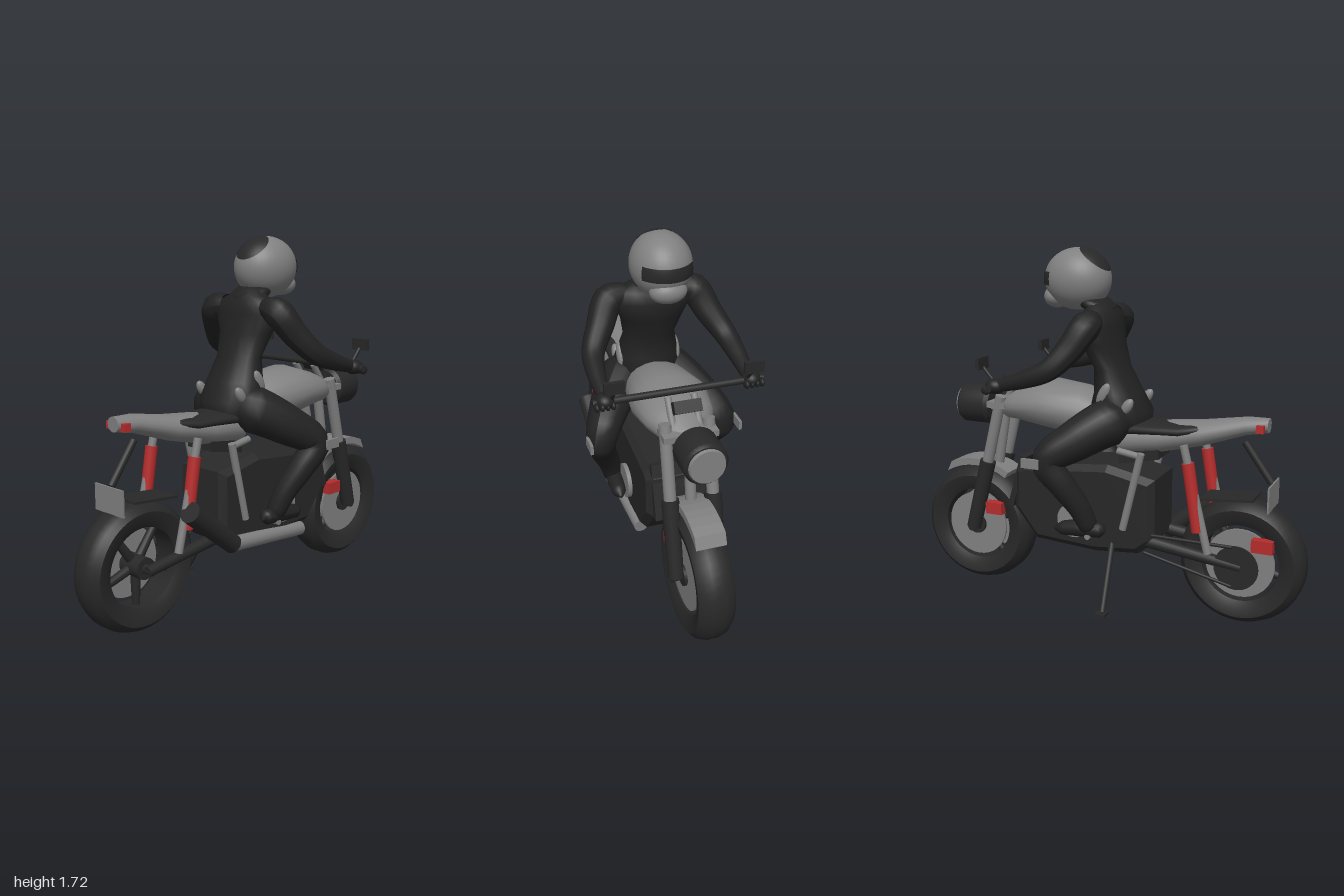
import * as THREE from 'three';
import { toCreasedNormals } from 'three/addons/utils/BufferGeometryUtils.js';

const V = (x, y, z) => new THREE.Vector3(x, y, z);

export function createModel() {
  const root = new THREE.Group();
  root.name = 'motorcycleWithRider';
  const material = (name, color) => {
    const m = new THREE.MeshStandardMaterial({ color, side: THREE.DoubleSide });
    m.name = name;
    return m;
  };
  const suit = material('suitBlack', 0x222222);
  const black = material('partsBlack', 0x282828);
  const gray = material('metalGray', 0x808080);
  const red = material('accentRed', 0xb52c2c);

  const add = (name, geo, mat, x = 0, y = 0, z = 0) => {
    const m = new THREE.Mesh(geo, mat);
    m.name = name;
    m.position.set(x, y, z);
    root.add(m);
    return m;
  };
  const box = (name, mat, w, h, d, x, y, z, rx = 0) => {
    const m = add(name, new THREE.BoxGeometry(w, h, d), mat, x, y, z);
    m.rotation.x = rx;
    return m;
  };
  const ball = (name, mat, sx, sy, sz, x, y, z) => {
    const m = add(name, new THREE.SphereGeometry(1, 24, 16), mat, x, y, z);
    m.scale.set(sx, sy, sz);
    return m;
  };
  // Straight cylinder between two points
  const rod = (name, mat, a, b, r, r2 = r) => {
    const p = V(...a), q = V(...b), d = q.clone().sub(p);
    const m = add(name, new THREE.CylinderGeometry(r2, r, d.length(), 16), mat);
    m.position.copy(p).add(q).multiplyScalar(0.5);
    m.quaternion.setFromUnitVectors(V(0, 1, 0), d.normalize());
    return m;
  };
  // Cylinder lying along x
  const disc = (name, mat, r, w, x, y, z, n = 32) =>
    add(name, new THREE.CylinderGeometry(r, r, w, n).rotateZ(Math.PI / 2), mat, x, y, z);
  // Side profile of [z, y] points with a width in x
  const slab = (name, mat, pts, w, x = 0, bevel = 0) => {
    const shape = new THREE.Shape(pts.map(p => new THREE.Vector2(...p)));
    const geo = new THREE.ExtrudeGeometry(shape, {
      depth: w - 2 * bevel, bevelEnabled: bevel > 0, bevelSize: bevel,
      bevelThickness: bevel, bevelOffset: -bevel, bevelSegments: 1 });
    return add(name, geo.translate(0, 0, bevel - w / 2).rotateY(-Math.PI / 2), mat, x);
  };
  // Elliptical sections [position, centre, halfX, halfOther] along z, or along y if upright
  const loft = (name, mat, rows, upright = false, crease = 1.2) => {
    const n = 20, pos = [], idx = [];
    const put = (u, v, w) => (upright ? pos.push(v, w, u) : pos.push(u, v, w));
    rows.forEach(([w, c, hx, h]) => {
      for (let j = 0; j < n; j++) {
        const a = (j / n) * Math.PI * 2, co = Math.cos(a), si = Math.sin(a);
        if (upright) put(c + h * co, hx * si, w); else put(hx * co, c + h * si, w);
      }
    });
    const last = (rows.length - 1) * n, c0 = rows.length * n, c1 = c0 + 1;
    for (const [w, c] of [rows[0], rows[rows.length - 1]]) upright ? put(c, 0, w) : put(0, c, w);
    for (let j = 0; j < n; j++) {
      const k = (j + 1) % n;
      for (let i = 0; i < last; i += n) idx.push(i + j, i + k, i + n + j, i + k, i + n + k, i + n + j);
      idx.push(c0, k, j, c1, last + j, last + k);
    }
    const geo = new THREE.BufferGeometry();
    geo.setAttribute('position', new THREE.Float32BufferAttribute(pos, 3));
    geo.setIndex(idx);
    return add(name, toCreasedNormals(geo, crease), mat);
  };
  // Tube through [x, y, z, radius] points
  const limb = (name, mat, pts) => {
    const curve = new THREE.CatmullRomCurve3(pts.map(p => V(p[0], p[1], p[2])));
    const segs = 28, sides = 14, geo = new THREE.TubeGeometry(curve, segs, 1, sides);
    const pos = geo.attributes.position, v = V(0, 0, 0);
    for (let i = 0; i < pos.count; i++) {
      const u = Math.floor(i / (sides + 1)) / segs, c = curve.getPointAt(u);
      const t = curve.getUtoTmapping(u) * (pts.length - 1);
      const k = Math.min(Math.floor(t), pts.length - 2);
      const r = THREE.MathUtils.lerp(pts[k][3], pts[k + 1][3], t - k);
      v.fromBufferAttribute(pos, i).sub(c).multiplyScalar(r).add(c);
      pos.setXYZ(i, v.x, v.y, v.z);
    }
    geo.computeVertexNormals();
    return add(name, geo, mat);
  };

  // Wheels
  const WY = 0.303;
  const tyre = [[.185, -.06], [.22, -.08], [.26, -.086], [.287, -.06], [.3, -.025], [.3, .025],
    [.287, .06], [.26, .086], [.22, .08], [.185, .06], [.185, -.06]].map(p => new THREE.Vector2(...p));
  for (const [end, z] of [['rear', 0.7], ['front', -0.7]]) {
    add(end + 'Tyre', toCreasedNormals(new THREE.LatheGeometry(tyre, 48).rotateZ(Math.PI / 2), 0.7), black, 0, WY, z);
    disc(end + 'Hub', black, 0.05, 0.15, 0, WY, z);
    disc(end + 'Axle', black, 0.022, 0.25, 0, WY, z, 16);
    for (let i = 0; i < 5; i++) {
      const a = Math.PI / 2 + i * Math.PI * 0.4 + (z > 0 ? Math.PI / 5 : 0);
      rod(end + 'Spoke', black, [0, WY, z], [0, WY + 0.2 * Math.sin(a), z + 0.2 * Math.cos(a)], 0.024, 0.018);
    }
  }
  disc('rearBrakeDisc', gray, 0.165, 0.012, -0.055, WY, 0.7);
  box('rearCaliper', red, 0.045, 0.06, 0.1, -0.08, 0.41, 0.81);
  disc('sprocket', black, 0.105, 0.008, -0.125, WY, 0.7);
  rod('chainLower', black, [-0.125, 0.21, 0.68], [-0.125, 0.31, 0.25], 0.008);
  rod('chainUpper', black, [-0.125, 0.4, 0.68], [-0.125, 0.4, 0.25], 0.008);

  // Engine, radiator and cover
  slab('engineBlock', black, [[.3, .36], [.3, .67], [.06, .72], [-.38, .68], [-.43, .65], [-.44, .45],
    [-.32, .3], [0, .28], [.22, .3]], 0.3, 0, 0.03);
  disc('engineCover', gray, 0.085, 0.34, 0, 0.435, -0.1);
  box('radiator', black, 0.25, 0.27, 0.03, 0, 0.58, -0.43, 0.28);

  // Exhaust and kickstand
  rod('exhaustPipe', gray, [0.165, 0.325, 0.25], [0.13, 0.27, -0.265], 0.036);
  rod('muffler', black, [0.165, 0.325, 0.25], [0.19, 0.55, 0.54], 0.046, 0.05);
  rod('kickstand', black, [-0.13, 0.35, 0.09], [-0.3, 0.05, 0.11], 0.015);
  box('kickstandFoot', black, 0.06, 0.012, 0.05, -0.305, 0.045, 0.11);

  // Fuel tank, tail and seat
  loft('fuelTank', gray, [[-.57, .935, .06, .035], [-.5, .945, .12, .07], [-.43, .96, .16, .085],
    [-.28, .97, .185, .12], [-.1, .945, .155, .125], [.06, .905, .1, .09]], false, 0.7);
  loft('tailFairing', gray, [[.1, .84, .11, .09], [.3, .86, .115, .075], [.5, .895, .095, .06],
    [.7, .945, .055, .042], [.8, .955, .036, .034]], false, 0.8);
  loft('seat', black, [[.05, .89, .115, .05], [.2, .9, .13, .035], [.4, .905, .12, .032], [.48, .915, .09, .03],
    [.6, .925, .05, .015]]);
  box('tailLight', red, 0.125, 0.035, 0.035, 0, 0.945, 0.77);
  slab('underSeatPanel', black, [[.1, .72], [.3, .76], [.3, .84], [.1, .84]], 0.16);

  // Plate holder and rear fender
  rod('plateHolder', black, [0, 0.87, 0.69], [0, 0.69, 0.82], 0.018);
  box('rearPlate', gray, 0.19, 0.12, 0.008, 0, 0.63, 0.83);
  box('rearFender', black, 0.15, 0.012, 0.25, 0, 0.602, 0.63, -0.09);

  // Headlight and gauges
  const lamp = [[0, .61], [.085, .61], [.1, .63], [.1, .765], [.09, .78], [0, .78]].map(p => new THREE.Vector2(...p));
  add('headlightHousing', toCreasedNormals(new THREE.LatheGeometry(lamp, 32).rotateX(-Math.PI / 2), 0.6), black, 0, 0.933, 0);
  add('headlightLens', new THREE.CylinderGeometry(0.086, 0.078, 0.02, 32).rotateX(Math.PI / 2), gray, 0, 0.933, -0.783);
  box('forkClamp', gray, 0.25, 0.03, 0.1, 0, 0.955, -0.54);
  rod('steeringStem', gray, [0, 0.97, -0.54], [0, 0.62, -0.6], 0.025);
  box('headlightBracket', gray, 0.1, 0.03, 0.08, 0, 0.93, -0.6);
  box('gauge', black, 0.125, 0.055, 0.04, 0, 1.07, -0.52, 0.6);
  rod('handlebar', black, [-0.39, 1.095, -0.42], [0.39, 1.095, -0.42], 0.016);

  // Front fender following the wheel
  const arc = [];
  for (let i = 0; i <= 16; i++) {
    const a = (i <= 8 ? i : 16 - i) / 8, r = i <= 8 ? 0.315 : 0.35;
    const t = THREE.MathUtils.lerp(1.0, 2.13, a);
    arc.push([-0.7 + r * Math.cos(t), WY + r * Math.sin(t)]);
  }
  slab('frontFender', gray, arc, 0.14);

  // Parts on both sides
  for (const s of [1, -1]) {
    rod('forkUpper', gray, [s * 0.1, 1.0, -0.52], [s * 0.1, 0.62, -0.615], 0.028);
    rod('forkLower', black, [s * 0.1, 0.66, -0.605], [s * 0.1, 0.3, -0.7], 0.04, 0.036);
    disc('frontBrakeDisc', gray, 0.165, 0.012, s * 0.055, WY, -0.7);
    box('frontCaliper', red, 0.05, 0.06, 0.09, s * 0.08, 0.41, -0.58);
    rod('barRiser', gray, [s * 0.06, 0.97, -0.52], [s * 0.06, 1.08, -0.44], 0.016);
    rod('mirrorStem', black, [s * 0.31, 1.1, -0.42], [s * 0.31, 1.18, -0.49], 0.009);
    box('mirror', black, 0.09, 0.055, 0.02, s * 0.313, 1.2, -0.495);
    rod('shockRod', gray, [s * 0.145, 0.86, 0.445], [s * 0.145, 0.36, 0.57], 0.019);
    rod('shockSpring', red, [s * 0.145, 0.78, 0.467], [s * 0.145, 0.46, 0.52], 0.029);
    rod('swingarm', black, [s * 0.11, 0.303, 0.72], [s * 0.11, 0.37, 0.22], 0.024, 0.032);
    rod('frameRail', gray, [s * 0.15, 0.8, 0.24], [s * 0.15, 0.42, 0.15], 0.018);
    rod('frameTop', gray, [s * 0.15, 0.785, 0.24], [s * 0.14, 0.8, 0.12], 0.016);
    rod('footPeg', gray, [s * 0.12, 0.385, 0], [s * 0.23, 0.385, 0], 0.014);
  }

  // Rider torso and collar
  loft('riderTorso', suit, [[.85, .11, .08, .09], [.89, .1, .14, .13], [.97, .08, .17, .15], [1.06, .065, .15, .11],
    [1.17, .035, .125, .08], [1.28, -.01, .15, .095], [1.37, -.025, .19, .095], [1.42, -.02, .17, .08],
    [1.45, -.025, .11, .065], [1.49, -.05, .07, .06]], true, 2);
  const collar = add('riderCollar', new THREE.TorusGeometry(0.07, 0.027, 10, 24), suit, 0, 1.46, -0.045);
  collar.rotation.x = Math.PI / 2 + 0.35;

  // Arms, legs, boots and pads
  for (const s of [1, -1]) {
    limb('riderArm', suit, [[s * .12, 1.4, -.015, .05], [s * .2, 1.38, -.015, .072], [s * .26, 1.28, -.07, .063],
      [s * .315, 1.19, -.15, .052], [s * .33, 1.14, -.27, .042], [s * .33, 1.105, -.39, .03]]);
    ball('riderHand', suit, .042, .036, .048, s * .335, 1.1, -.415);
    for (let i = 0; i < 4; i++)
      ball('riderFinger', suit, .012, .02, .025, s * (.305 + i * .024), 1.085, -.44);
    limb('riderLeg', suit, [[s * .06, .95, .13, .07], [s * .12, .93, .07, .115], [s * .22, .85, -.06, .098],
      [s * .295, .755, -.175, .073], [s * .275, .65, -.11, .064], [s * .23, .53, -.04, .055],
      [s * .2, .42, 0, .045], [s * .195, .4, .01, .02]]);
    limb('riderBoot', suit, [[s * .195, .41, .08, .008], [s * .195, .415, .06, .036], [s * .2, .415, -.05, .042],
      [s * .205, .405, -.14, .034], [s * .205, .4, -.18, .008]]);
    box('kneePad', gray, 0.014, 0.045, 0.09, s * 0.363, 0.755, -0.225);
    const pad = ball('hipPad', gray, .018, .06, .026, s * .138, 1.06, .045);
    pad.rotation.x = 0.45;
    const pad2 = ball('rearHipPad', gray, .02, .045, .024, s * .128, 1.01, .16);
    pad2.rotation.x = 0.6;
  }

  // Helmet with crown patch, visor and chin guard
  const helmet = new THREE.Group();
  helmet.name = 'helmet';
  helmet.position.set(0, 1.577, -0.143);
  helmet.scale.set(0.138, 0.146, 0.163);
  root.add(helmet);
  const onHelmet = (name, geo, mat) => {
    const m = new THREE.Mesh(geo, mat);
    m.name = name;
    helmet.add(m);
  };
  onHelmet('helmetShell', new THREE.SphereGeometry(1, 32, 24), gray);
  onHelmet('crownPatch', new THREE.SphereGeometry(1.02, 24, 8, 0, Math.PI * 2, 0, 0.6).rotateX(0.7), black);
  onHelmet('visor', new THREE.SphereGeometry(1.03, 24, 6, Math.PI * 1.5 - 0.95, 1.9, 1.33, 0.42), black);
  ball('chinGuard', gray, .085, .055, .062, 0, 1.492, -.25);

  return root;
}
